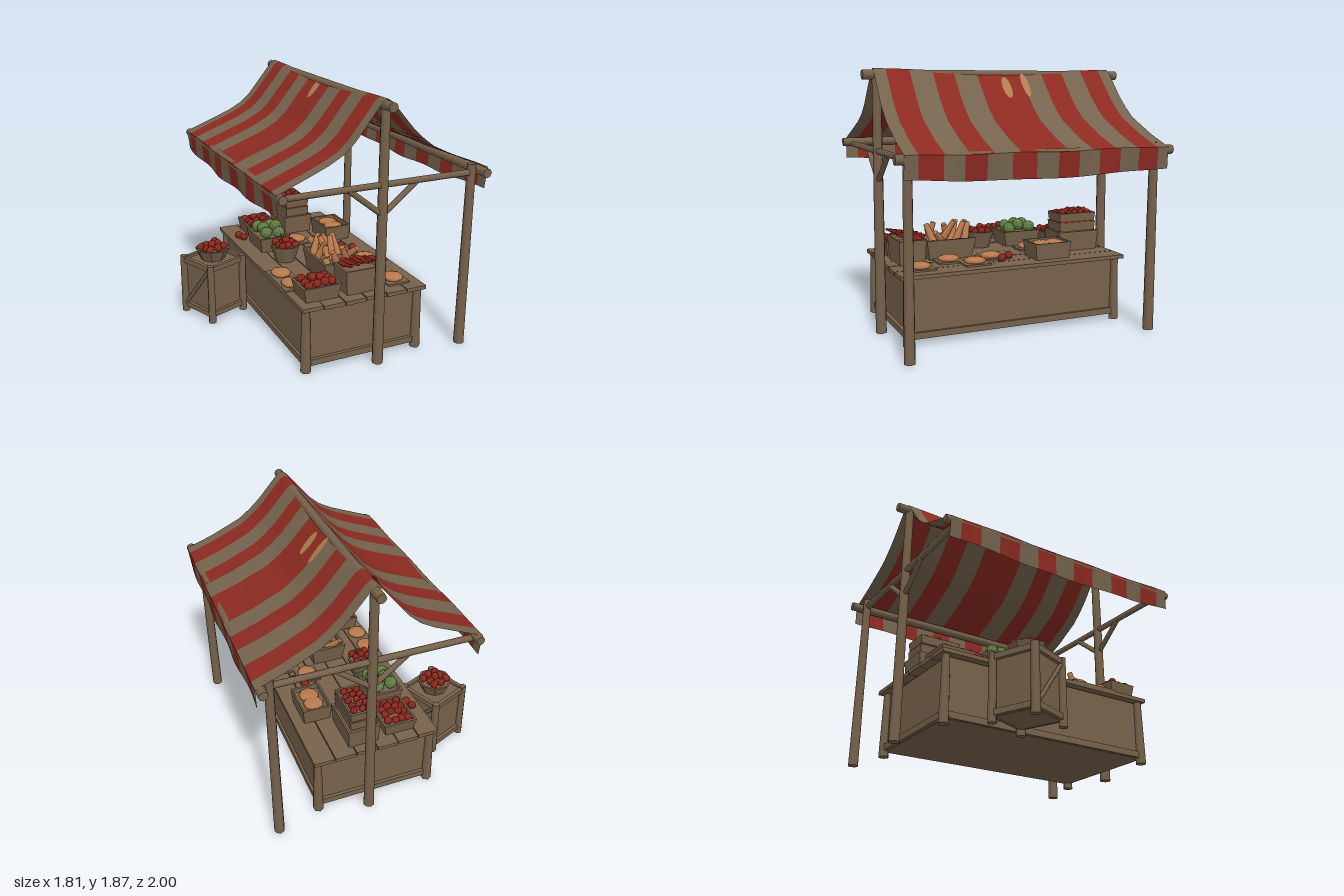
import * as THREE from 'three';

const mat = (name, color) => {
  const m = new THREE.MeshStandardMaterial({ color, side: THREE.DoubleSide });
  m.name = name;
  return m;
};

export function createModel() {
  const root = new THREE.Group();
  const wood = mat('wood', 0x77624b), cloth = mat('tan cloth', 0x75644e), red = mat('red cloth', 0x8c2a21);
  const patch = mat('patch', 0xb07d50), bread = mat('bread', 0xb9794d), tomato = mat('tomato', 0x8f281d), green = mat('green', 0x5f7d43);

  let seed = 7;
  const rnd = () => (seed = (seed * 16807) % 2147483647) / 2147483647;
  const V = (x, y, z) => new THREE.Vector3(x, y, z);
  const group = (name, parent = root) => {
    const g = new THREE.Group();
    g.name = name;
    parent.add(g);
    return g;
  };
  const add = (parent, name, geo, m, x = 0, y = 0, z = 0) => {
    const mesh = new THREE.Mesh(geo, m);
    mesh.name = name;
    mesh.position.set(x, y, z);
    parent.add(mesh);
    return mesh;
  };
  const flat = (geo) => {
    const g = geo.index ? geo.toNonIndexed() : geo;
    g.computeVertexNormals();
    return g;
  };
  // round timber from a to b
  const beam = (parent, name, a, b, r0, r1 = r0, sides = 8, m = wood) => {
    const d = b.clone().sub(a);
    const mesh = add(parent, name, new THREE.CylinderGeometry(r1, r0, d.length(), sides), m);
    mesh.position.copy(a).add(b).multiplyScalar(0.5);
    mesh.quaternion.setFromUnitVectors(V(0, 1, 0), d.normalize());
    return mesh;
  };
  const box = (parent, name, w, h, d, x, y, z, m = wood) => add(parent, name, new THREE.BoxGeometry(w, h, d), m, x, y, z);

  // Timber frame
  const frame = group('frame');
  for (const z of [-0.9, 0.9]) {
    beam(frame, 'ridgePost', V(0.105, 0, z), V(0.11, 1.84, z), 0.04, 0.032);
    beam(frame, 'sidePost', V(0.79, 0, z), V(0.8, 1.36, z), 0.038, 0.031);
    beam(frame, 'crossBeam', V(-0.62, 1.3, z), V(0.86, 1.3, z), 0.023);
    for (const s of [-1, 1]) beam(frame, 'brace', V(0.11, 1.09, z), V(0.11 + s * 0.25, 1.29, z), 0.02);
  }
  beam(frame, 'ridgePole', V(0.108, 1.825, -1), V(0.108, 1.825, 1), 0.034);
  beam(frame, 'leftEavePole', V(-0.63, 1.317, -0.98), V(-0.63, 1.317, 0.98), 0.031);
  beam(frame, 'rightEavePole', V(0.862, 1.31, -1), V(0.862, 1.31, 1), 0.034);

  // Canopy: a sagging cross-section swept along z in stripes
  const prof = [[-0.66, 1.34], [-0.44, 1.427], [-0.3, 1.485], [-0.2, 1.54], [-0.12, 1.61], [0.07, 1.845], [0.108, 1.868],
    [0.145, 1.845], [0.3, 1.665], [0.38, 1.59], [0.47, 1.52], [0.7, 1.41], [0.9, 1.335]];
  const roof = (x, z) => {
    let i = 0;
    while (i < prof.length - 2 && x > prof[i + 1][0]) i++;
    const [a, b] = [prof[i], prof[i + 1]];
    const y = a[1] + (b[1] - a[1]) * (x - a[0]) / (b[0] - a[0]);
    const spread = Math.min(1, Math.abs(x - 0.108) / 0.75);
    return V(x, y - 0.024 * Math.cos(z * 1.65) ** 2 * (1 - spread * 0.7) + 0.004 * Math.sin(z * 9) * spread, z * (0.985 + 0.025 * spread));
  };
  const warp = (nu, nv, fn) => {
    const g = new THREE.PlaneGeometry(1, 1, nu, nv), p = g.attributes.position;
    for (let i = 0; i < p.count; i++) {
      const v = fn(p.getX(i) + 0.5, p.getY(i) + 0.5);
      p.setXYZ(i, v.x, v.y, v.z);
    }
    g.computeVertexNormals();
    return g;
  };
  const canopy = group('canopy');
  const stripes = [-0.94, -0.85, -0.69, -0.52, -0.35, -0.18, 0.17, 0.35, 0.51, 0.68, 0.85, 0.94];
  const n = prof.length - 1;
  for (let i = 0; i < stripes.length - 1; i++) {
    const geo = warp(n, 3, (u, v) => roof(prof[Math.round(u * n)][0], THREE.MathUtils.lerp(stripes[i], stripes[i + 1], v)));
    add(canopy, 'canopyStripe', geo, i % 2 ? red : cloth);
  }
  const hem = [-0.94, -0.86, -0.71, -0.56, -0.4, -0.25, -0.1, 0.06, 0.23, 0.4, 0.55, 0.69, 0.85, 0.94];
  for (const [x, dir] of [[-0.66, 1], [0.9, -1]])
    for (let i = 0; i < hem.length - 1; i++) {
      const geo = warp(2, 3, (u, v) => {
        const z = THREE.MathUtils.lerp(hem[i], hem[i + 1], v), p = roof(x, z);
        return V(x + u * (dir * 0.012 + 0.008 * Math.sin(z * 11)), p.y - u * (0.15 + 0.025 * Math.cos(z * 1.6)), p.z);
      });
      add(canopy, 'valanceStripe', geo, i % 2 ? red : cloth);
    }
  // Sewn patches following the slope
  for (const [x, z, rx, rz] of [[0.225, -0.03, 0.065, 0.035], [0.04, 0.0, 0.055, 0.04], [0.21, -0.185, 0.075, 0.028]]) {
    const g = new THREE.CircleGeometry(1, 14), p = g.attributes.position;
    for (let i = 0; i < p.count; i++) {
      const v = roof(x + p.getX(i) * rx, z + p.getY(i) * rz);
      p.setXYZ(i, v.x, v.y + 0.007, v.z);
    }
    g.computeVertexNormals();
    add(canopy, 'patch', g, patch);
  }

  // Counter
  const counter = group('counter');
  box(counter, 'body', 0.86, 0.42, 1.6, 0.03, 0.25, 0);
  for (const x of [-0.405, 0.465]) {
    for (const z of [-0.81, 0.81]) beam(counter, 'leg', V(x, 0, z), V(x, 0.465, z), 0.038, 0.03, 6);
    box(counter, 'sideRail', 0.03, 0.045, 1.6, x, 0.065, 0);
  }
  for (const z of [-0.81, 0.81]) box(counter, 'endRail', 0.86, 0.045, 0.03, 0.03, 0.065, z);
  for (let i = 0; i < 6; i++) box(counter, 'plank', 0.153, 0.028, 1.71 + 0.03 * rnd(), -0.37 + i * 0.16, 0.477 + 0.005 * rnd(), 0);

  // Open containers: four-sided crates and round bowls
  const container = (parent, name, x, y, z, w, h, d, taper = 0.85, sides = 4) => {
    const k = sides === 4 ? Math.SQRT2 : 1;
    const pts = [[0, 0], [taper, 0], [1, 1], [0.88, 1], [0.85, 0.75], [0, 0.75]].map(([r, t]) => new THREE.Vector2(r * k, t));
    const mesh = add(parent, name, flat(new THREE.LatheGeometry(pts, sides, Math.PI / 4)), wood, x, y, z);
    mesh.scale.set(w / 2, h, d / 2);
    return mesh;
  };
  const ball = (parent, name, m, x, y, z, r) => {
    const mesh = add(parent, name, flat(new THREE.IcosahedronGeometry(r, 1)), m, x, y, z);
    mesh.rotation.set(rnd() * 3, rnd() * 3, 0);
    mesh.scale.y = 0.9;
  };
  // heap of produce, taller in the middle
  const heap = (parent, name, m, x, y, z, w, d, r, rise) => {
    const nx = Math.max(2, Math.round(w / (r * 1.9))), nz = Math.max(2, Math.round(d / (r * 1.9)));
    for (let i = 0; i < nx; i++)
      for (let j = 0; j < nz; j++) {
        const u = (i + 0.5) / nx - 0.5, v = (j + 0.5) / nz - 0.5;
        const lift = rise * (1 - 2 * Math.max(Math.abs(u), Math.abs(v))) + rnd() * r * 0.5;
        ball(parent, name, m, x + u * w + (rnd() - 0.5) * r * 0.5, y + lift, z + v * d + (rnd() - 0.5) * r * 0.5, r);
      }
  };

  const goods = group('goods'), top = 0.49;
  container(goods, 'tomatoCrate', -0.265, top, 0.68, 0.28, 0.11, 0.22);
  heap(goods, 'tomato', tomato, -0.265, 0.59, 0.68, 0.23, 0.17, 0.032, 0.04);
  container(goods, 'pepperBox', 0.065, top, 0.69, 0.31, 0.18, 0.2, 0.92);
  for (let i = 0; i < 9; i++) {
    const x = -0.05 + i * 0.028, z = 0.69 + (rnd() - 0.5) * 0.06, t = (rnd() - 0.5) * 0.1;
    beam(goods, 'pepper', V(x, 0.67, z - 0.09), V(x + t, 0.7 + rnd() * 0.02, z + 0.09), 0.022, 0.008, 6, tomato);
  }
  container(goods, 'loafBox', 0.0, top, 0.37, 0.28, 0.15, 0.38, 0.85);
  for (let i = 0; i < 12; i++) {
    const x = -0.09 + (i % 3) * 0.085, z = 0.25 + Math.floor(i / 3) * 0.078;
    const a = V(x, 0.6, z), b = V(x + (rnd() - 0.5) * 0.16, 0.69 + rnd() * 0.07, z + (rnd() - 0.5) * 0.2);
    beam(goods, 'longLoaf', a, b, 0.03, 0.02, 7, bread);
  }
  container(goods, 'tomatoBowl', -0.21, top, 0.01, 0.23, 0.13, 0.23, 0.65, 10);
  heap(goods, 'tomato', tomato, -0.21, 0.6, 0.01, 0.16, 0.16, 0.03, 0.045);
  beam(goods, 'spoon', V(-0.21, 0.57, -0.03), V(-0.2, 0.66, -0.1), 0.007);
  container(goods, 'greensCrate', -0.22, top, -0.31, 0.25, 0.12, 0.31);
  heap(goods, 'cabbage', green, -0.22, 0.61, -0.31, 0.19, 0.25, 0.05, 0.05);
  container(goods, 'lowTomatoCrate', -0.18, top, -0.64, 0.25, 0.1, 0.3);
  heap(goods, 'tomato', tomato, -0.18, 0.58, -0.64, 0.2, 0.25, 0.03, 0.025);
  container(goods, 'stackBase', 0.11, top, -0.635, 0.24, 0.15, 0.34, 0.92);
  container(goods, 'stackTray', 0.11, 0.64, -0.635, 0.2, 0.07, 0.31, 0.95);
  box(goods, 'stackFruitLayer', 0.18, 0.012, 0.29, 0.11, 0.715, -0.635, tomato);
  container(goods, 'stackTray', 0.11, 0.72, -0.635, 0.2, 0.06, 0.31, 0.95);
  heap(goods, 'tomato', tomato, 0.11, 0.768, -0.635, 0.16, 0.26, 0.026, 0.01);
  container(goods, 'breadBox', 0.33, top, -0.31, 0.22, 0.125, 0.29, 0.9);
  const loaf = (x, z, y = 0.515, s = 1) => {
    const mesh = add(goods, 'flatLoaf', new THREE.SphereGeometry(0.075 * s, 9, 6), bread, x, y, z);
    mesh.scale.set(1, 0.35, 1.1);
  };
  loaf(0.33, -0.36, 0.595);
  loaf(0.33, -0.26, 0.595);
  for (const [x, z] of [[0.34, 0.68], [0.34, 0.27], [0.22, 0.1], [0.2, 0.42], [-0.36, 0.28], [-0.36, 0.47], [0.02, -0.3]]) {
    box(goods, 'breadBoard', 0.17, 0.014, 0.19, x, 0.5, z);
    loaf(x, z, 0.52);
  }
  for (const [x, z] of [[0.34, 0.06], [0.28, -0.02], [-0.36, -0.5], [-0.38, -0.56]]) ball(goods, 'looseTomato', tomato, x, 0.52, z, 0.032);

  // Side stand with a bowl
  const stand = group('sideStand');
  stand.position.set(-0.67, 0, -0.36);
  stand.rotation.y = 0.39;
  box(stand, 'standBody', 0.3, 0.4, 0.3, 0, 0.24, 0);
  for (let i = 0; i < 4; i++) {
    const side = group('standSide', stand);
    side.rotation.y = i * Math.PI / 2;
    beam(side, 'standPost', V(0.16, 0, 0.16), V(0.16, 0.47, 0.16), 0.031, 0.028, 6);
    box(side, 'standTopRail', 0.32, 0.04, 0.03, 0, 0.44, 0.16);
    box(side, 'standBottomRail', 0.32, 0.04, 0.03, 0, 0.065, 0.16);
    if (i % 2) beam(side, 'standBrace', V(-0.14, 0.08, 0.165), V(0.14, 0.42, 0.165), 0.014, 0.014, 6);
  }
  container(stand, 'standBowl', 0, 0.445, 0, 0.27, 0.09, 0.27, 0.7, 8);
  heap(stand, 'tomato', tomato, 0, 0.525, 0, 0.19, 0.19, 0.032, 0.035);
  return root;
}
